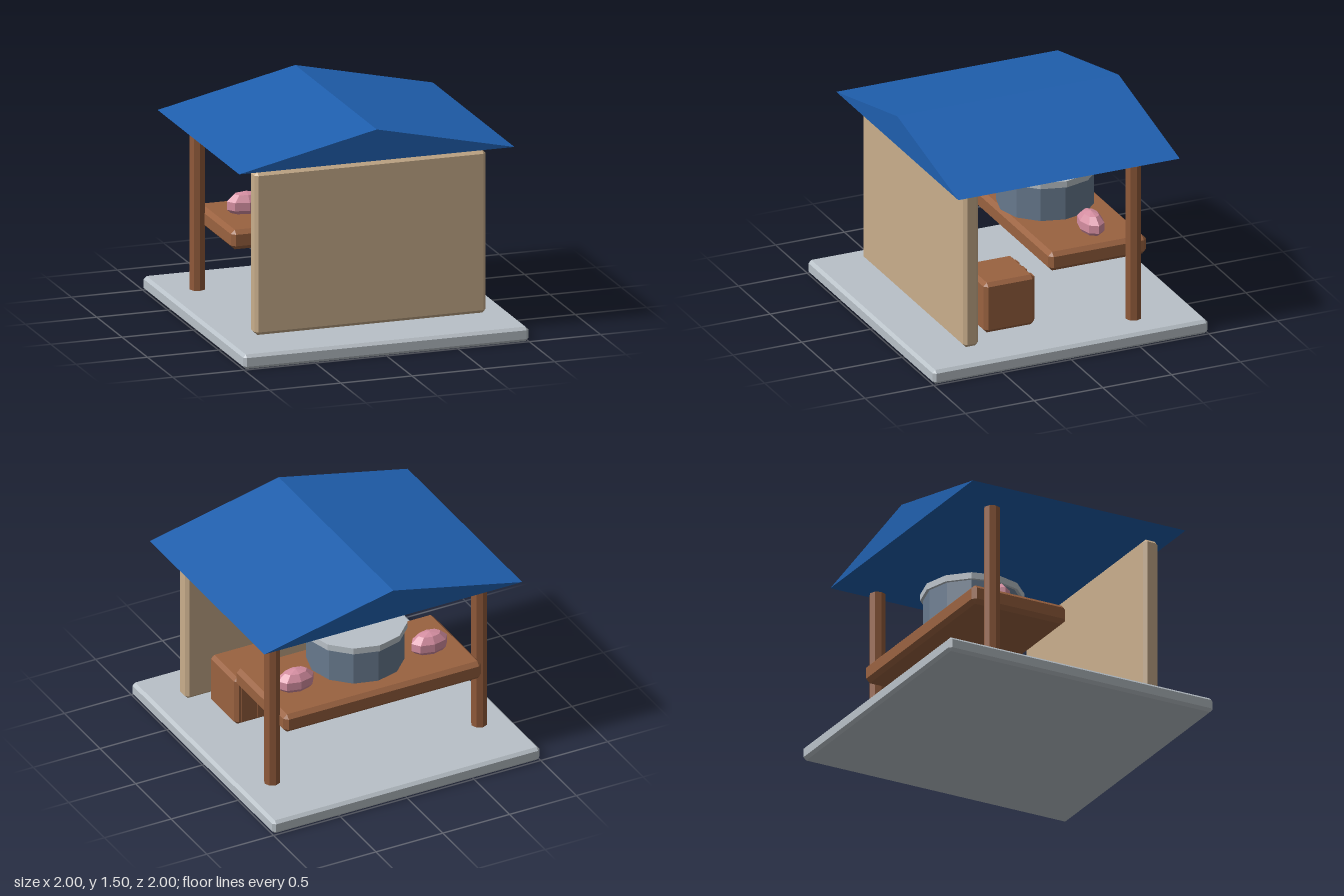
import * as THREE from 'three';
import { ConvexGeometry } from 'three/addons/geometries/ConvexGeometry.js';

const material = (name, color) => {
  const m = new THREE.MeshStandardMaterial({ color });
  m.name = name;
  return m;
};

// Box with every edge cut at 45 degrees
function chamferBox(w, h, d, c) {
  const half = [w / 2, h / 2, d / 2];
  const points = [];
  for (const sx of [-1, 1]) for (const sy of [-1, 1]) for (const sz of [-1, 1]) {
    for (let full = 0; full < 3; full++) {
      const [x, y, z] = half.map((v, i) => (i === full ? v : v - c));
      points.push(new THREE.Vector3(sx * x, sy * y, sz * z));
    }
  }
  return new ConvexGeometry(points);
}

// Cylinder with flat facets
function faceted(radius, height, sides) {
  return new THREE.CylinderGeometry(radius, radius, height, sides).toNonIndexed();
}

export function createModel() {
  const model = new THREE.Group();
  model.name = 'marketStall';

  const stone = material('pale grey', 0xb9c1c8);
  const tan = material('tan', 0xc9ae8c);
  const wood = material('brown wood', 0x9a6240);
  const postWood = material('dark brown wood', 0x905a3a);
  const roofBlue = material('roof blue', 0x1f5fae);
  const steel = material('steel blue', 0x687a8e);
  const pink = material('pink', 0xd68fa2);

  const add = (name, geometry, mat, x, y, z) => {
    geometry.computeVertexNormals();
    const mesh = new THREE.Mesh(geometry, mat);
    mesh.name = name;
    mesh.position.set(x, y, z);
    model.add(mesh);
    return mesh;
  };

  // Floor slab and wall panel
  add('floor', chamferBox(2, 0.1, 2, 0.02), stone, 0, 0.05, 0);
  add('wall', chamferBox(1.62, 1.12, 0.11, 0.022), tan, 0, 0.69, 0.635);

  // Solid gable roof
  const gable = new THREE.Shape([
    new THREE.Vector2(-0.965, 1.29),
    new THREE.Vector2(0.965, 1.29),
    new THREE.Vector2(0, 1.505),
  ]);
  add('roof', new THREE.ExtrudeGeometry(gable, { depth: 1.61, bevelEnabled: false }), roofBlue, 0, 0, -0.805);

  // Counter with its two posts
  add('counter', chamferBox(1.48, 0.135, 0.71, 0.028), wood, 0, 0.597, -0.32);
  for (const side of [-1, 1]) {
    const name = side > 0 ? 'leftPost' : 'rightPost';
    add(name, faceted(0.055, 1.11, 8), postWood, side * 0.775, 0.665, -0.555);
  }

  // Cooking pot, lid and knob
  add('pot', faceted(0.325, 0.25, 12), steel, 0, 0.815, -0.27);
  add('potLid', faceted(0.345, 0.045, 12), stone, 0, 0.952, -0.27);
  add('lidKnob', faceted(0.075, 0.07, 8), postWood, 0, 1.005, -0.27);

  // Food pieces on either side of the pot
  for (const side of [-1, 1]) {
    const food = new THREE.SphereGeometry(1, 8, 5).scale(0.14, 0.09, 0.083).toNonIndexed();
    add(side > 0 ? 'leftFood' : 'rightFood', food, pink, side * 0.5, 0.718, -0.372);
  }

  // Crate with upright slats on its back face
  add('crate', chamferBox(0.38, 0.36, 0.37, 0.025), wood, 0.5, 0.327, 0.3);
  for (let i = -1; i <= 1; i++) {
    add('crateSlat', new THREE.BoxGeometry(0.06, 0.31, 0.02), wood, 0.5 + i * 0.12, 0.327, 0.116);
  }

  return model;
}
